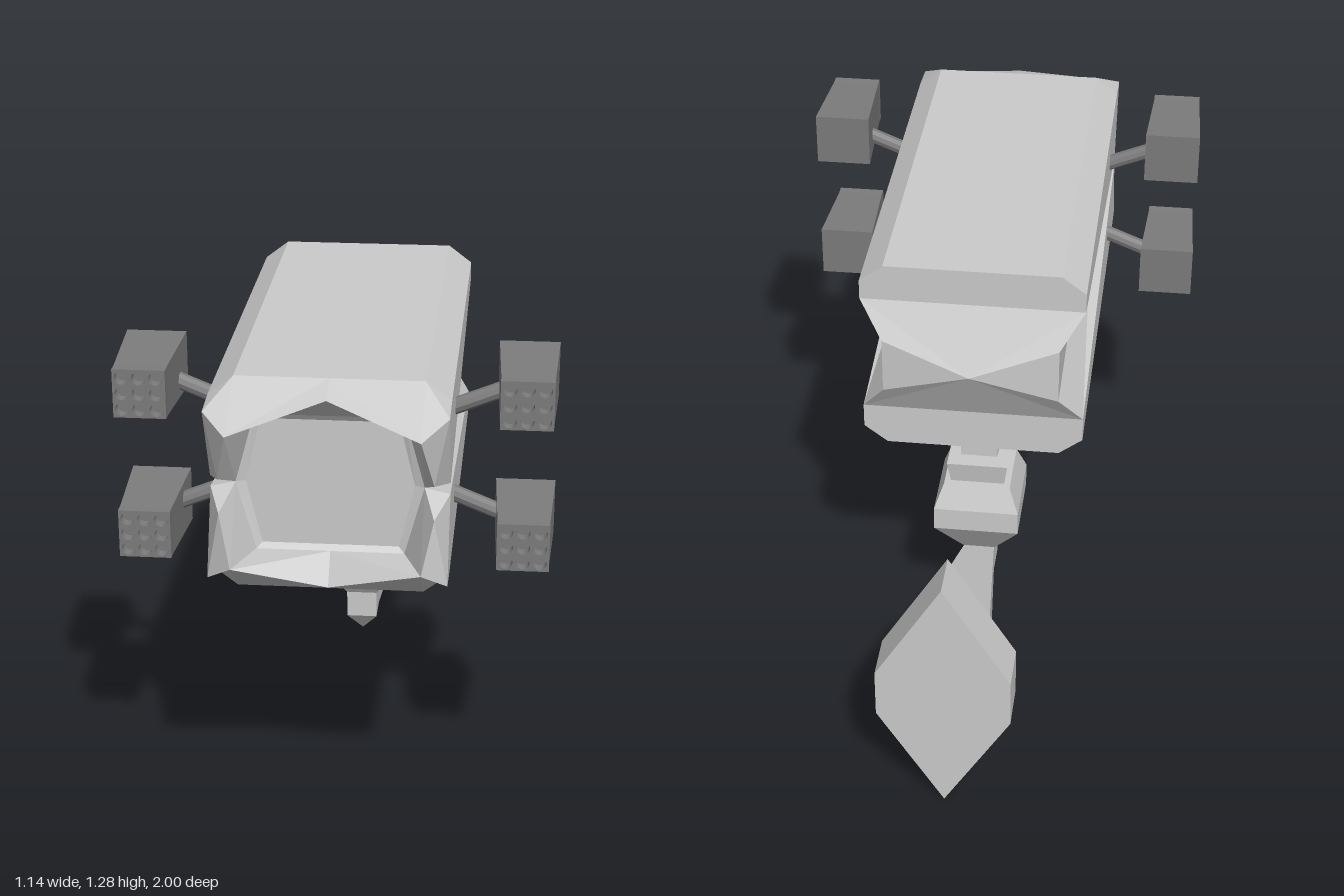
import * as THREE from 'three';

const grey = new THREE.MeshStandardMaterial({ color: 0xcccccc, flatShading: true });
const dark = new THREE.MeshStandardMaterial({ color: 0x7c7c7c, flatShading: true });

function add(parent, name, geometry, material = grey) {
  const mesh = new THREE.Mesh(geometry, material);
  mesh.name = name;
  parent.add(mesh);
  return mesh;
}

// Flat-faced geometry from convex polygons of the +x half, mirrored to -x
function mirroredPolygons(faces) {
  const pos = [];
  for (const face of faces) {
    for (let i = 1; i < face.length - 1; i++) {
      const tri = [face[0], face[i], face[i + 1]];
      for (const p of tri) pos.push(...p);
      for (const p of tri.reverse()) pos.push(-p[0], p[1], p[2]);
    }
  }
  const g = new THREE.BufferGeometry();
  g.setAttribute('position', new THREE.Float32BufferAttribute(pos, 3));
  g.computeVertexNormals();
  return g;
}

// Box whose front and back ends are different rectangles: [z, centreY, width, height]
function taperedBox(front, back) {
  const g = new THREE.BoxGeometry(1, 1, 1);
  const p = g.attributes.position;
  for (let i = 0; i < p.count; i++) {
    const [z, y, w, h] = p.getZ(i) > 0 ? front : back;
    p.setXYZ(i, p.getX(i) * w, y + p.getY(i) * h, z);
  }
  g.computeVertexNormals();
  return g;
}

// Faces of the upper or lower half of the hooded front
function hood(outer, [peak, corner, side, cheek], notch, screen, inset, flip) {
  const [f0, f1, f2, f3] = outer;
  const faces = [
    [f0, peak, corner, f1], [f1, corner, side, f2], [f2, side, f3],
    [side, corner, cheek], [side, cheek, f3], [f3, cheek, notch],
    [peak, screen[0], screen[1], corner], [corner, screen[1], notch], [corner, notch, cheek],
    [screen[0], inset[0], inset[1], screen[1]], [screen[1], inset[1], inset[2], notch],
  ];
  return flip ? faces.map((f) => f.reverse()) : faces;
}

function bodyGeometry() {
  const zf = 0.82, zr = -0.34, zi = 0.81;
  // Half cross-sections, from top centre round to bottom centre
  const F = [[0, 1.285], [0.24, 1.285], [0.305, 1.235], [0.305, 1.015], [0.24, 1],
    [0.24, 1], [0.305, 0.985], [0.305, 0.76], [0.24, 0.71], [0, 0.71]].map(([x, y]) => [x, y, zf]);
  const K = [[0, 1.285], [0.24, 1.285], [0.305, 1.235], [0.305, 1.18], [0.24, 1.08],
    [0.24, 0.92], [0.305, 0.83], [0.305, 0.76], [0.24, 0.71], [0, 0.71]]
    .map(([x, y], i) => [x, y, i === 4 || i === 5 ? -0.39 : zr]);
  const faces = [];
  for (let i = 0; i < 9; i++) faces.push([F[i], F[i + 1], K[i + 1], K[i]]);

  // Rear: flat bands above and below a shallow point
  const top = [0, 1.18, zr], low = [0, 0.83, zr], apex = [0, 1, -0.425];
  faces.push([K[0], K[1], K[2], K[3], top], [K[6], K[7], K[8], K[9], low]);
  const fan = [top, K[3], K[4], K[5], K[6], low];
  for (let i = 0; i < 5; i++) faces.push([fan[i], fan[i + 1], apex]);

  // Front: upper and lower hoods around the recessed screen
  const notch = F[4], mid = [0.215, 1, zi];
  const upIn = [[0, 1.17, zi], [0.175, 1.17, zi], mid];
  const downIn = [[0, 0.83, zi], [0.175, 0.83, zi], mid];
  faces.push(...hood(F.slice(0, 4),
    [[0, 1.255, 0.9], [0.24, 1.19, 1], [0.305, 1.225, 0.92], [0.27, 1.05, 0.93]],
    notch, [[0, 1.185, zf], [0.19, 1.185, zf]], upIn, false));
  faces.push(...hood([F[9], F[8], F[7], F[6]],
    [[0, 0.74, 0.88], [0.24, 0.815, 0.955], [0.305, 0.77, 0.91], [0.27, 0.955, 0.925]],
    notch, [[0, 0.815, zf], [0.19, 0.815, zf]], downIn, true));
  faces.push([upIn[0], downIn[0], downIn[1], mid, upIn[1]]);
  return mirroredPolygons(faces);
}

// Pod with a 3 x 3 grid of open barrels in its front
function makePod() {
  const pod = new THREE.Group();
  const w = 0.136, h = 0.13;
  add(pod, 'podCase', taperedBox([0.73, 0, w, h], [0.48, 0, 0.158, 0.15]), dark);
  const plate = new THREE.Shape([[-1, -1], [1, -1], [1, 1], [-1, 1]]
    .map(([x, y]) => new THREE.Vector2(x * w / 2, y * h / 2)));
  for (let i = -1; i <= 1; i++) {
    for (let j = -1; j <= 1; j++) {
      plate.holes.push(new THREE.Path().absarc(i * 0.044, j * 0.042, 0.018, 0, Math.PI * 2, true));
    }
  }
  const geo = new THREE.ExtrudeGeometry(plate, { depth: 0.03, bevelEnabled: false, curveSegments: 12 });
  add(pod, 'barrelPlate', geo, dark).position.z = 0.73;
  return pod;
}

export function createModel() {
  const model = new THREE.Group();
  model.name = 'mountedMonitor';
  add(model, 'body', bodyGeometry());

  // Four pods on slanted struts
  for (const side of [-1, 1]) {
    for (const up of [-1, 1]) {
      const pod = makePod();
      pod.name = (up > 0 ? 'upper' : 'lower') + (side > 0 ? 'Left' : 'Right') + 'Pod';
      pod.position.set(side * 0.491, up > 0 ? 1.204 : 0.815, 0);
      model.add(pod);
      const y = (d) => (up > 0 ? 1.007 + d : 1.007 - d);
      const path = new THREE.LineCurve3(
        new THREE.Vector3(side * 0.26, y(0.105), 0.575),
        new THREE.Vector3(side * 0.45, y(0.182), 0.575));
      add(model, 'strut', new THREE.TubeGeometry(path, 1, 0.022, 10), dark);
    }
  }

  // Neck and square swivel joint under the body
  add(model, 'neck', new THREE.BoxGeometry(0.106, 0.16, 0.074)).position.set(0, 0.64, -0.161);
  const profile = [[0, 0.105], [0.045, 0.165], [0.045, 0.245], [0.122, 0.365], [0.122, 0.435],
    [0.095, 0.51], [0.077, 0.51], [0.087, 0.575], [0, 0.575]]
    .map(([r, y]) => new THREE.Vector2(r * Math.SQRT2, y));
  add(model, 'swivelJoint', new THREE.LatheGeometry(profile, 4, Math.PI / 4)).position.z = -0.161;

  // Flaring arm and hexagonal wall plate
  add(model, 'arm', taperedBox([-0.19, 0.203, 0.086, 0.076], [-0.88, 0.366, 0.215, 0.255]));
  const hex = new THREE.Shape([[0, 0], [0.18, 0.3], [0.18, 0.44], [0, 0.74], [-0.18, 0.44], [-0.18, 0.3]]
    .map(([x, y]) => new THREE.Vector2(x, y)));
  add(model, 'wallPlate', new THREE.ExtrudeGeometry(hex, { depth: 0.13, bevelEnabled: false })).position.z = -1;
  return model;
}
